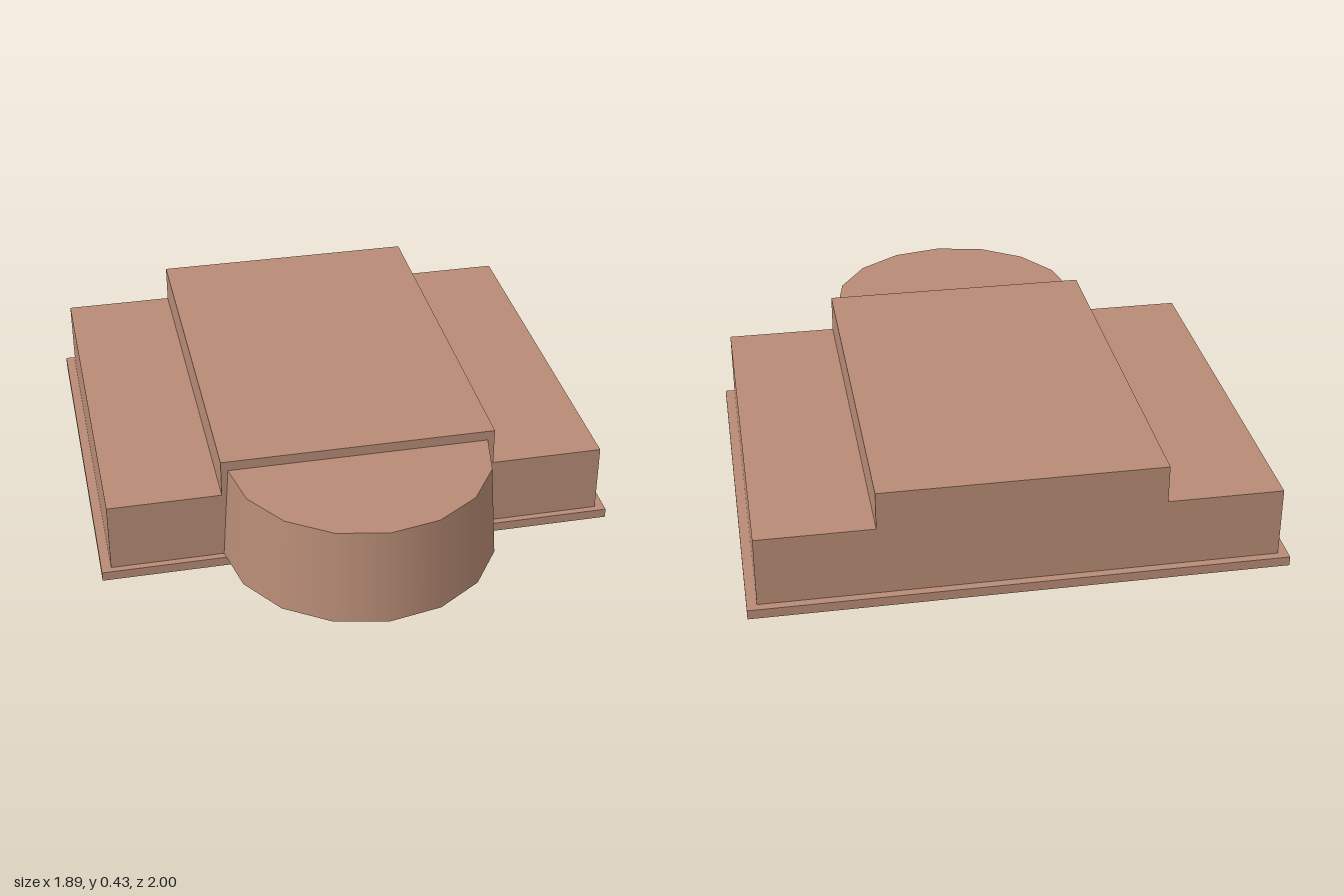
import * as THREE from 'three';

const BASE_TOP = 0.035;
const FRONT = 0.5;

export function createModel() {
  const group = new THREE.Group();
  const clay = new THREE.MeshStandardMaterial({ color: 0xb88c76 });
  clay.name = 'clay';

  const add = (name, geometry, x, y, z) => {
    const mesh = new THREE.Mesh(geometry, clay);
    mesh.name = name;
    mesh.position.set(x, y, z);
    group.add(mesh);
  };

  // Thin slab under the main block
  add('basePlate', new THREE.BoxGeometry(1.89, BASE_TOP, 1.525), 0, BASE_TOP / 2, -0.2375);

  // Main block: low sides with a raised middle, one stepped section run front to back
  const section = new THREE.Shape([
    [-0.91, BASE_TOP], [0.91, BASE_TOP], [0.91, 0.293], [0.5, 0.293],
    [0.5, 0.432], [-0.5, 0.432], [-0.5, 0.293], [-0.91, 0.293],
  ].map(([x, y]) => new THREE.Vector2(x, y)));
  add('steppedBody', new THREE.ExtrudeGeometry(section, { depth: 1.47, bevelEnabled: false }), 0, 0, FRONT - 1.47);

  // Tapered half-round bay on the front
  const bayHeight = 0.36;
  add('frontBay', new THREE.CylinderGeometry(0.475, 0.5, bayHeight, 8, 1, false, -Math.PI / 2, Math.PI),
    0, BASE_TOP + bayHeight / 2, FRONT);

  return group;
}
